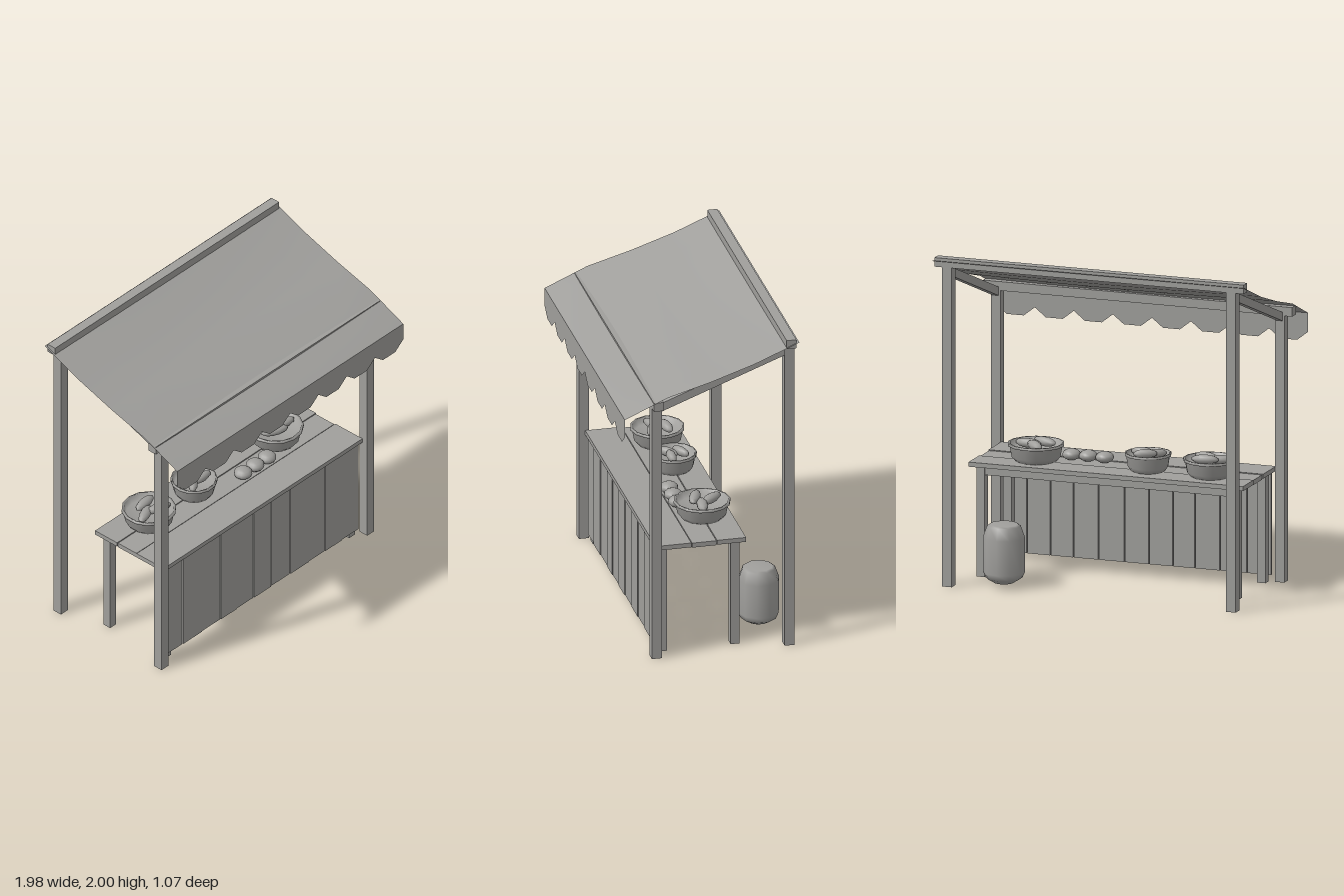
import * as THREE from 'three';

export function createModel() {
  const stall = new THREE.Group();
  stall.name = 'marketStall';
  const grey = new THREE.MeshStandardMaterial({ color: 0xa09f9c, side: THREE.DoubleSide });
  grey.name = 'plainGrey';

  const add = (name, geometry, x = 0, y = 0, z = 0, parent = stall) => {
    const mesh = new THREE.Mesh(geometry, grey);
    mesh.name = name;
    mesh.position.set(x, y, z);
    parent.add(mesh);
    return mesh;
  };
  // Box given by its limits on each axis
  const block = (name, x0, x1, y0, y1, z0, z1) =>
    add(name, new THREE.BoxGeometry(x1 - x0, y1 - y0, z1 - z0), (x0 + x1) / 2, (y0 + y1) / 2, (z0 + z1) / 2);

  // Posts, rafters and table legs on both sides
  for (const s of [-1, 1]) {
    const x = s * 0.9;
    block('frontPost', x - 0.03, x + 0.03, 0, 1.63, 0.29, 0.35);
    block('backPost', x - 0.03, x + 0.03, 0, 1.95, -0.52, -0.46);
    const dy = 0.3, dz = -0.79;
    const rafter = add('rafter', new THREE.BoxGeometry(0.04, 0.05, Math.hypot(dy, dz)), x, 1.765, -0.09);
    rafter.rotation.x = Math.atan2(dy, -dz);
    const lx = s * 0.805;
    block('frontTableLeg', lx - 0.026, lx + 0.026, 0, 0.67, 0.235, 0.288);
    block('backTableLeg', lx - 0.026, lx + 0.026, 0, 0.67, -0.21, -0.155);
  }
  block('frontBeam', -0.98, 0.98, 1.625, 1.68, 0.29, 0.35);
  block('backBeam', -0.98, 0.98, 1.945, 2, -0.52, -0.46);

  // Sagging canopy cloth: height interpolated along a few points from back to front
  const slope = [[-0.535, 1.985], [-0.26, 1.872], [0, 1.786], [0.27, 1.71], [0.53, 1.595]];
  const cloth = new THREE.PlaneGeometry(1.98, 1, 8, slope.length - 1);
  const p = cloth.attributes.position;
  for (let i = 0; i < p.count; i++) {
    const row = Math.floor(i / 9);
    const [z, y] = slope[row];
    const sag = row > 0 && row < 4 ? 0.012 * Math.cos(p.getX(i) * Math.PI / 1.98) : 0;
    p.setXYZ(i, p.getX(i), y - sag, z);
  }
  cloth.computeVertexNormals();
  add('canopy', cloth);

  // Scalloped valance hanging from the front edge
  const edge = new THREE.Shape();
  edge.moveTo(-0.99, 1.595);
  const step = 1.98 / 8;
  for (let i = 0; i < 8; i++) {
    const x = -0.99 + i * step;
    edge.lineTo(x, 1.48);
    edge.lineTo(x + 0.07, 1.425);
    edge.lineTo(x + step - 0.07, 1.425);
  }
  edge.lineTo(0.99, 1.48);
  edge.lineTo(0.99, 1.595);
  add('valance', new THREE.ShapeGeometry(edge), 0, 0, 0.53);

  // Table top boards and back apron
  block('frontTableBoard', -0.87, 0.87, 0.672, 0.7, 0.094, 0.312);
  block('middleTableBoard', -0.865, 0.865, 0.667, 0.696, -0.06, 0.088);
  block('backTableBoard', -0.87, 0.87, 0.672, 0.7, -0.24, -0.063);
  block('backApron', -0.78, 0.78, 0.62, 0.67, -0.2, -0.165);

  // Front cladding planks of uneven width
  const joints = [-0.85, -0.695, -0.525, -0.365, -0.225, -0.075, 0.08, 0.245, 0.405, 0.55, 0.7, 0.85];
  for (let i = 0; i < joints.length - 1; i++) {
    block('frontPlank', joints[i] + 0.003, joints[i + 1] - 0.003, 0.04, 0.671, 0.286, i % 2 ? 0.306 : 0.302);
  }

  // Bowls with a lip and a few loaves inside
  const bowlProfile = [[0, 0], [0.72, 0], [0.87, 0.03], [0.94, 0.092], [1, 0.095], [1, 0.11], [0.92, 0.11],
    [0.84, 0.07], [0, 0.06]];
  const loaves = [[-0.3, 0.1, 0.4], [0.25, 0.25, -0.3], [0.1, -0.3, 0.15]];
  const makeBowl = (x, z, r, turn) => {
    const bowl = new THREE.Group();
    bowl.name = 'bowl';
    bowl.position.set(x, 0.7, z);
    bowl.rotation.y = turn;
    stall.add(bowl);
    const points = bowlProfile.map(([k, y]) => new THREE.Vector2(k * r, y));
    add('bowlShell', new THREE.LatheGeometry(points, 14), 0, 0, 0, bowl);
    loaves.forEach(([lx, lz, angle], i) => {
      const loaf = add('loaf', new THREE.SphereGeometry(1, 10, 7), lx * r, 0.1 + i * 0.006, lz * r, bowl);
      loaf.scale.set(r * 0.52, 0.028, r * 0.2);
      loaf.rotation.y = angle;
    });
  };
  makeBowl(-0.595, -0.06, 0.163, 0);
  makeBowl(-0.2, -0.06, 0.14, 0.3);
  makeBowl(0.51, -0.06, 0.17, 2.6);

  // Three round buns on the table
  for (const x of [0.115, 0.22, 0.325]) {
    add('bun', new THREE.SphereGeometry(0.056, 12, 8), x, 0.731, 0.045).scale.y = 0.62;
  }

  // Rounded sack standing behind the table
  const sackProfile = [[0, 0.01], [0.06, 0.025], [0.11, 0.055], [0.125, 0.09], [0.125, 0.3], [0.1, 0.37], [0.085, 0.38], [0, 0.381]]
    .map(([r, y]) => new THREE.Vector2(r, y));
  add('sack', new THREE.LatheGeometry(sackProfile, 10), 0.59, 0, -0.385);

  return stall;
}
